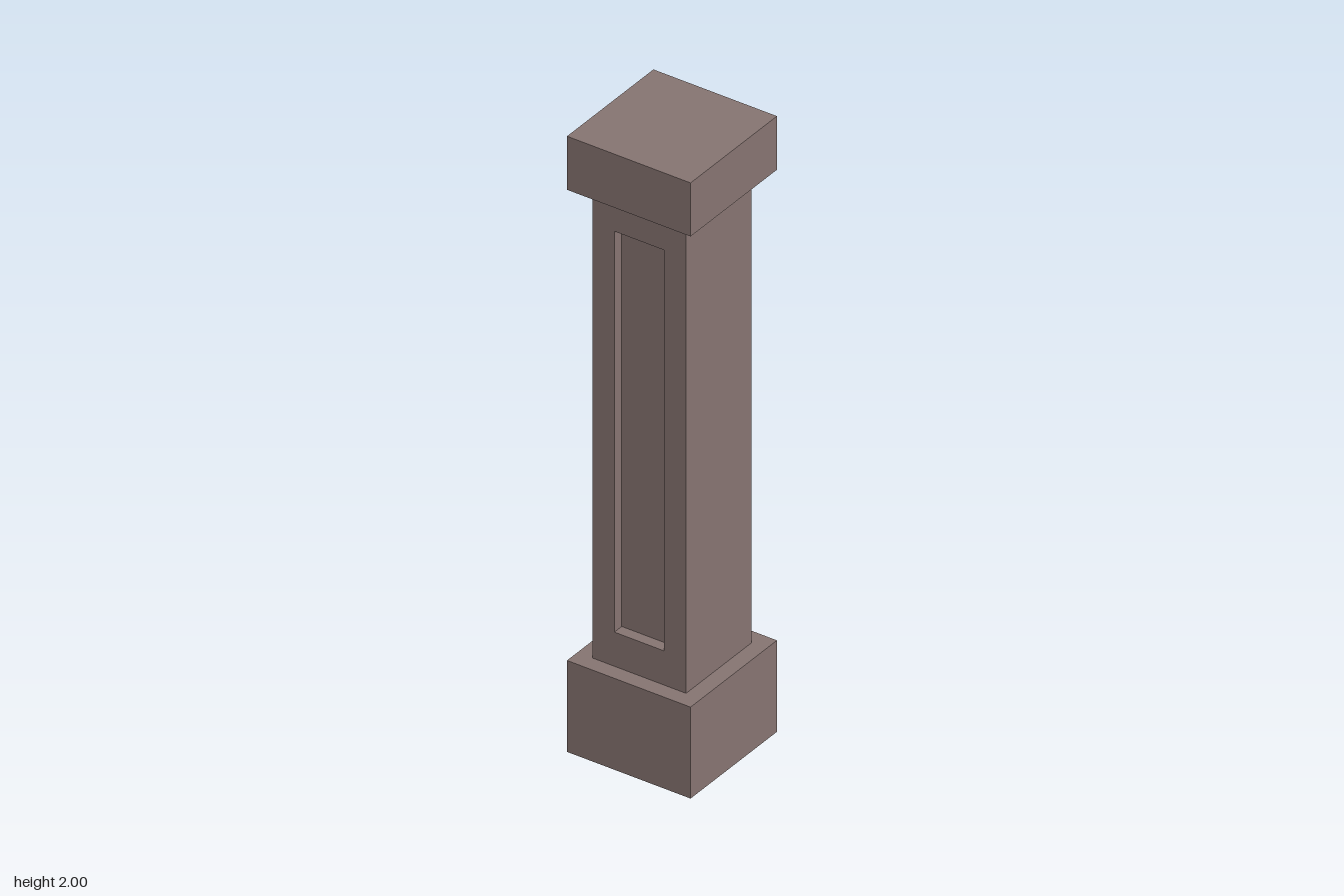
import * as THREE from 'three';

const WIDTH = 0.412, SHAFT = 0.312;
const BASE_TOP = 0.297, CAP_BOTTOM = 1.826;
const PANEL = { width: 0.166, bottom: 0.408, top: 1.71, recess: 0.035 };

// Adds the corners of an upright rectangle, centred on x = 0, to a shape or path
function rectangle(path, width, bottom, top) {
  const h = width / 2;
  path.moveTo(-h, bottom);
  path.lineTo(h, bottom);
  path.lineTo(h, top);
  path.lineTo(-h, top);
  path.closePath();
  return path;
}

export function createModel() {
  const group = new THREE.Group();
  group.name = 'pillar';
  const stone = new THREE.MeshStandardMaterial({ color: 0x857370 });
  stone.name = 'brownStone';

  function add(name, geometry, y = 0) {
    const mesh = new THREE.Mesh(geometry, stone);
    mesh.name = name;
    mesh.position.y = y;
    group.add(mesh);
  }
  function block(name, width, bottom, top, depth) {
    add(name, new THREE.BoxGeometry(width, top - bottom, depth), (bottom + top) / 2);
  }

  // Square plinth and cap
  block('base', WIDTH, 0, BASE_TOP, WIDTH);
  block('cap', WIDTH, CAP_BOTTOM, 2, WIDTH);

  // Shaft with a tall opening from front to back
  const outline = rectangle(new THREE.Shape(), SHAFT, BASE_TOP, CAP_BOTTOM);
  outline.holes.push(rectangle(new THREE.Path(), PANEL.width, PANEL.bottom, PANEL.top));
  const shaft = new THREE.ExtrudeGeometry(outline, { depth: SHAFT, bevelEnabled: false });
  shaft.translate(0, 0, -SHAFT / 2);
  add('shaft', shaft);

  // Infill that leaves a sunken panel on the front and on the back
  block('recessedPanels', PANEL.width, PANEL.bottom, PANEL.top, SHAFT - 2 * PANEL.recess);

  return group;
}
